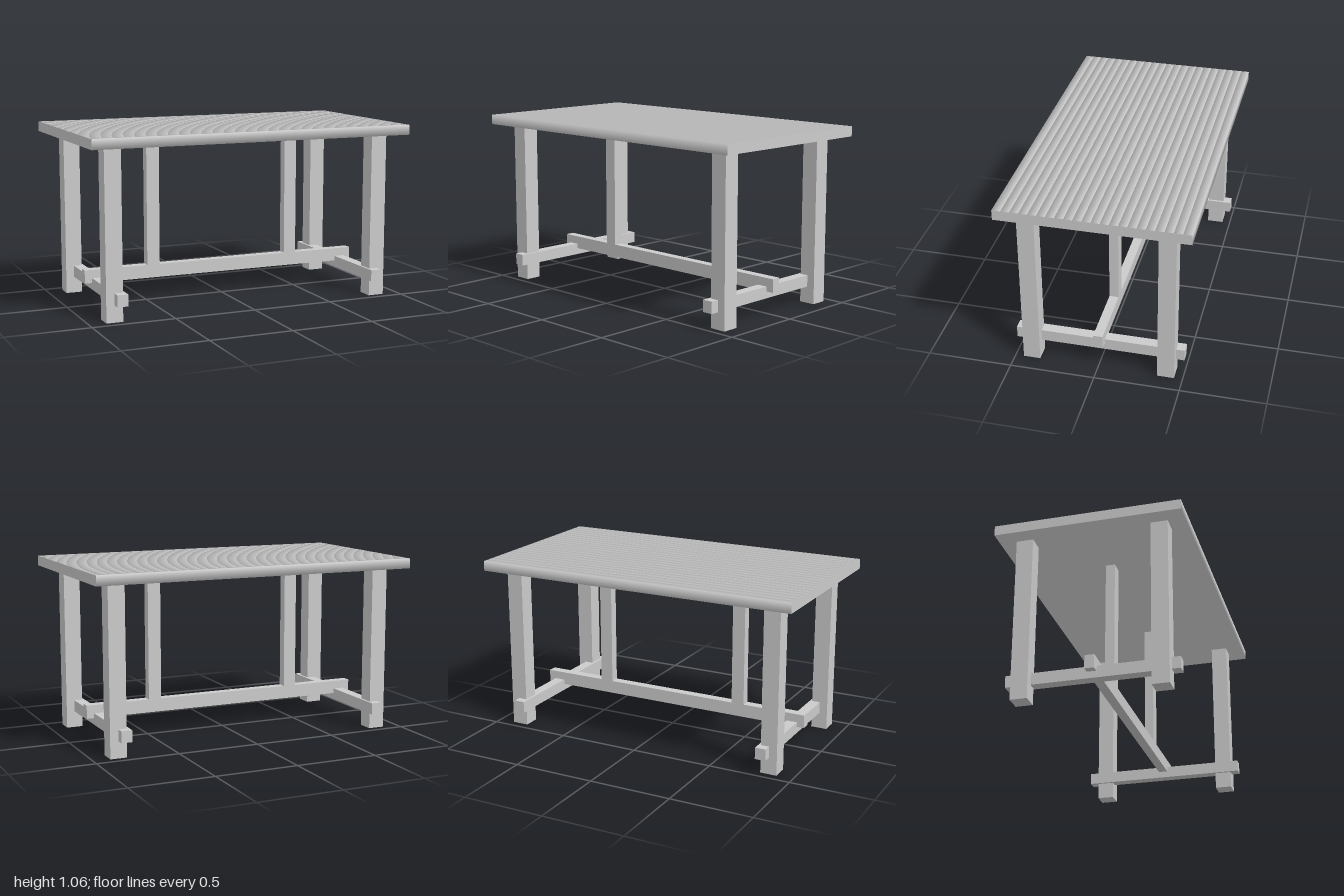
import * as THREE from 'three';

const material = new THREE.MeshStandardMaterial({ color: 0xcccccc });

export function createModel() {
  const table = new THREE.Group();
  table.name = 'trestleTable';

  const add = (name, geometry, x, y, z) => {
    const mesh = new THREE.Mesh(geometry, material);
    mesh.name = name;
    mesh.position.set(x, y, z);
    table.add(mesh);
  };

  // Table top: planks with softly shaded long edges and flat ends
  const plankCount = 22, plankWidth = 0.05, plankHeight = 0.06;
  const plank = new THREE.CylinderGeometry(Math.SQRT1_2, Math.SQRT1_2, 2, 4, 1, false, Math.PI / 4);
  plank.rotateZ(Math.PI / 2);
  plank.scale(1, plankHeight, plankWidth);
  for (let i = 0; i < plankCount; i++) {
    add('topPlank', plank, 0, 1.03, (i - (plankCount - 1) / 2) * plankWidth);
  }

  // Crossbeam outline (length, height) with a notch for the stretcher
  const outline = new THREE.Shape([
    [-0.5, 0.1], [0.5, 0.1], [0.5, 0.17], [0.03, 0.17],
    [0.03, 0.14], [-0.03, 0.14], [-0.03, 0.17], [-0.5, 0.17],
  ].map(([z, y]) => new THREE.Vector2(z, y)));
  const beamWidth = 0.065;
  const crossbeam = new THREE.ExtrudeGeometry(outline, { depth: beamWidth, bevelEnabled: false });
  crossbeam.translate(0, 0, -beamWidth / 2);
  crossbeam.rotateY(Math.PI / 2);

  const leg = new THREE.BoxGeometry(0.1, 1, 0.1);
  const upright = new THREE.BoxGeometry(0.08, 0.78, 0.056);

  for (const side of [-1, 1]) {
    // Corner legs
    for (const end of [-1, 1]) add('leg', leg, side * 0.85, 0.5, end * 0.4);
    // Beam joining each pair of legs
    add('crossbeam', crossbeam, side * 0.818, 0, 0);
    // Post from the stretcher to the top
    add('upright', upright, side * 0.46, 0.61, 0);
  }

  // Long stretcher resting in the crossbeam notches
  add('stretcher', new THREE.BoxGeometry(1.79, 0.08, 0.056), 0, 0.18, 0);

  return table;
}
